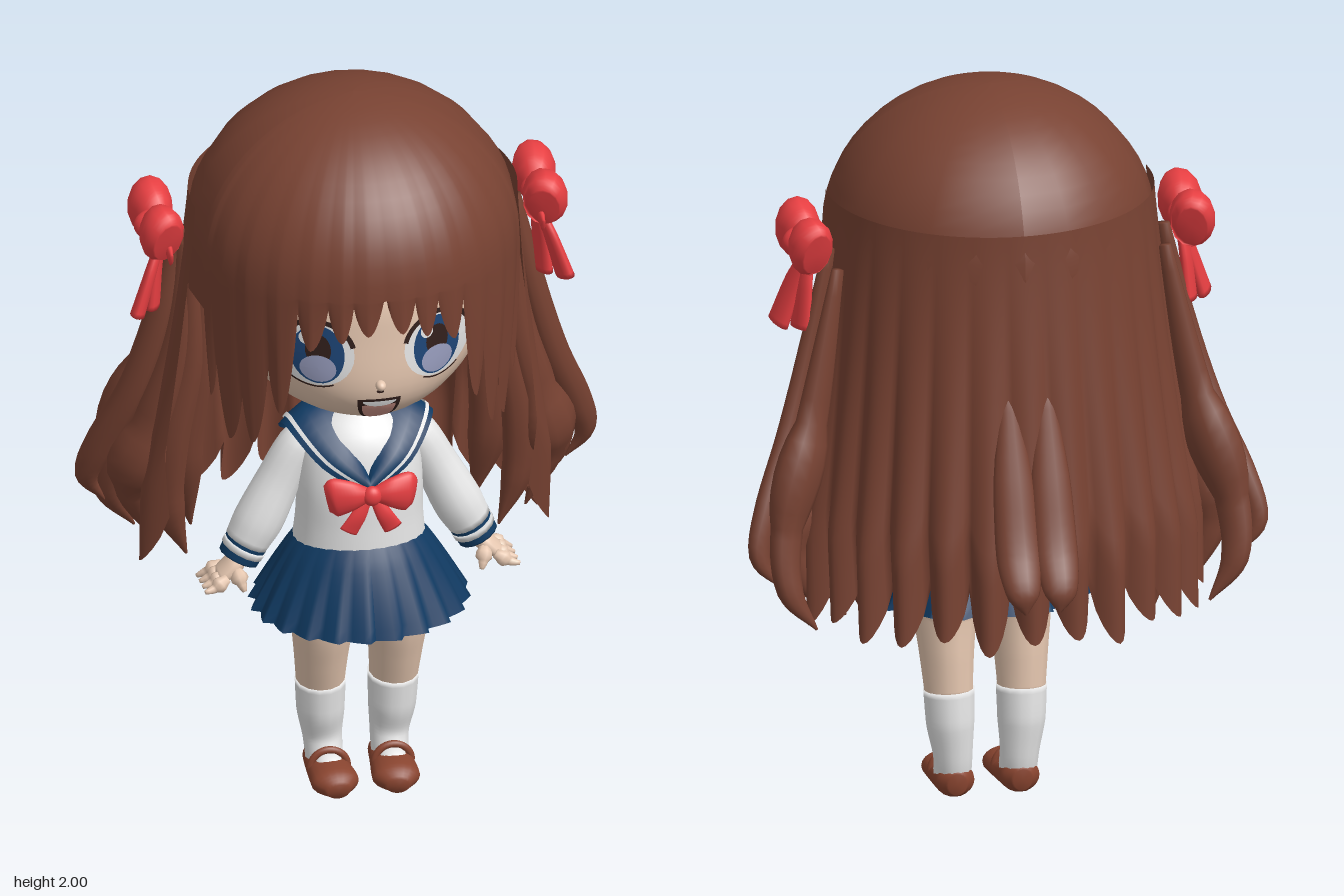
import * as THREE from 'three';

const { PI, sin, cos, sqrt, pow, abs, max, floor } = Math;
const lerp = THREE.MathUtils.lerp;

function indexed(pos, idx) {
  const g = new THREE.BufferGeometry();
  g.setAttribute('position', new THREE.Float32BufferAttribute(pos, 3));
  g.setIndex(idx);
  g.computeVertexNormals();
  return g;
}

// Sheet from a rule: f(u, v) -> [x, y, z]
function sheet(nu, nv, f) {
  const pos = [], idx = [], w = nv + 1;
  for (let i = 0; i <= nu; i++) for (let j = 0; j <= nv; j++) pos.push(...f(i / nu, j / nv));
  for (let i = 0; i < nu; i++) for (let j = 0; j < nv; j++) {
    const a = i * w + j, c = a + w;
    idx.push(a, a + 1, c, c, a + 1, c + 1);
  }
  return indexed(pos, idx);
}

// Elliptical tube through rows [x, y, z, halfWidth, halfDepth]; width runs along "side"
function sweep(rows, side = [1, 0, 0], steps = 18, n = 14) {
  const path = new THREE.CatmullRomCurve3(rows.map(r => new THREE.Vector3(r[0], r[1], r[2])));
  const size = new THREE.CatmullRomCurve3(rows.map(r => new THREE.Vector3(r[3], r[4] ?? r[3], 0)));
  const pos = [], idx = [], ref = new THREE.Vector3(...side);
  for (let i = 0; i <= steps; i++) {
    const p = path.getPoint(i / steps), r = size.getPoint(i / steps), t = path.getTangent(i / steps);
    const s = ref.clone().addScaledVector(t, -ref.dot(t)).normalize(), d = t.clone().cross(s);
    for (let j = 0; j < n; j++) {
      const a = j / n * 2 * PI;
      const q = p.clone().addScaledVector(s, max(r.x, 0.001) * cos(a)).addScaledVector(d, max(r.y, 0.001) * sin(a));
      pos.push(q.x, q.y, q.z);
    }
  }
  for (let i = 0; i < steps; i++) for (let j = 0; j < n; j++) {
    const a = i * n + j, b = i * n + (j + 1) % n;
    idx.push(a, b, a + n, a + n, b, b + n);
  }
  const first = rows[0], last = rows[rows.length - 1], c = (steps + 1) * n;
  pos.push(first[0], first[1], first[2], last[0], last[1], last[2]);
  for (let j = 0; j < n; j++) {
    const k = (j + 1) % n;
    idx.push(c, k, j, c + 1, steps * n + j, steps * n + k);
  }
  return indexed(pos, idx);
}

function mirrored(g) {
  const m = g.clone().scale(-1, 1, 1), a = m.index.array;
  for (let i = 0; i < a.length; i += 3) [a[i], a[i + 1]] = [a[i + 1], a[i]];
  return m;
}

// Head surface from a unit-sphere point
const headPoint = (u, v, w) => [0.39 * u, 1.48 + 0.36 * v, 0.08 + 0.39 * w + (v < 0 && w > 0 ? 0.26 * v * v * w : 0)];

// Thin elliptical patch that follows the face
function patch(cx, cy, rx, ry, off, inner = 0, start = 0, len = 2 * PI) {
  const g = new THREE.RingGeometry(inner, 1, 28, 4, start, len), p = g.attributes.position;
  for (let i = 0; i < p.count; i++) {
    const x = cx + p.getX(i) * rx, y = cy + p.getY(i) * ry, u = x / 0.39, v = (y - 1.48) / 0.36;
    p.setXYZ(i, x, y, headPoint(u, v, sqrt(max(0, 1 - u * u - v * v)))[2] + off);
  }
  g.computeVertexNormals();
  return g;
}

export function createModel() {
  const model = new THREE.Group();
  const mat = (name, color, side = THREE.FrontSide) => Object.assign(new THREE.MeshStandardMaterial({ color, side }), { name });
  const hair = mat('brown hair', 0x784232, THREE.DoubleSide), skin = mat('skin', 0xf0d0b8);
  const white = mat('white cloth', 0xf4f4f4, THREE.DoubleSide), navy = mat('navy cloth', 0x103a62, THREE.DoubleSide);
  const red = mat('red ribbon', 0xe83f42), shoe = mat('shoe leather', 0x8a4530), dark = mat('dark line', 0x33201c);
  const iris = mat('iris blue', 0x1e4678), glint = mat('lavender glint', 0x9a9fc0), mouth = mat('mouth pink', 0xcf9488);

  const add = (name, geo, material) => {
    const m = new THREE.Mesh(geo, material);
    m.name = name;
    model.add(m);
  };
  const pair = (name, geo, material) => {
    add('left ' + name, geo, material);
    add('right ' + name, mirrored(geo), material);
  };
  const ball = (x, y, z, a, b, c) => new THREE.SphereGeometry(1, 20, 14).scale(a, b, c).translate(x, y, z);

  // Head, ears, nose
  const head = new THREE.SphereGeometry(1, 48, 36), hp = head.attributes.position;
  for (let i = 0; i < hp.count; i++) hp.setXYZ(i, ...headPoint(hp.getX(i), hp.getY(i), hp.getZ(i)));
  head.computeVertexNormals();
  add('head', head, skin);
  pair('ear', ball(0.365, 1.335, 0.17, 0.03, 0.07, 0.045), skin);
  add('nose', ball(0, 1.315, 0.485, 0.014, 0.014, 0.018), skin);
  add('nose mark', patch(0, 1.295, 0.01, 0.006, 0.006), dark);

  // Eyes and mouth as thin patches
  pair('eye white', patch(0.165, 1.4, 0.098, 0.095, 0.002), white);
  pair('eyelash', patch(0.165, 1.4, 0.104, 0.105, 0.004, 0.87, 0.08 * PI, 0.84 * PI), dark);
  pair('lower eyelid', patch(0.165, 1.4, 0.1, 0.1, 0.004, 0.95, 1.35 * PI, 0.35 * PI), dark);
  pair('iris', patch(0.16, 1.4, 0.067, 0.087, 0.004), iris);
  pair('pupil', patch(0.16, 1.415, 0.032, 0.046, 0.006), dark);
  pair('iris glint', patch(0.16, 1.36, 0.045, 0.04, 0.0075), glint);
  for (const x of [-0.19, 0.13]) add('eye sparkle', patch(x, 1.45, 0.018, 0.02, 0.009), white);
  add('mouth line', patch(0, 1.268, 0.058, 0.098, 0.003, 0, PI, PI), dark);
  add('mouth inside', patch(0, 1.247, 0.045, 0.068, 0.005, 0, PI, PI), mouth);
  add('teeth', patch(0, 1.262, 0.045, 0.018, 0.007, 0, PI, PI), white);

  // Hair cap with fringe: knots are [degrees from the front, edge height], valley and tip in turn
  const knots = [[0, 1.62], [6, 1.5], [11, 1.58], [15, 1.48], [20, 1.57], [26, 1.45], [31, 1.55], [38, 1.24],
    [43, 1.36], [51, 1.12], [56, 1.24], [63, 1.1], [70, 1.3], [73, 1.2], [77, 1.44], [180, 1.44]];
  const columns = [];
  for (let k = 0; k < knots.length - 1; k++) for (let i = 0; i < 6; i++) {
    const [d0, y0] = knots[k], [d1, y1] = knots[k + 1], t = i / 6;
    const e = k % 2 ? 1 - pow(sin((1 - t) * PI / 2), 0.8) : pow(sin(t * PI / 2), 0.8);
    columns.push([lerp(d0, d1, t), lerp(y0, y1, e), k % 2 ? 1 - t : t]);
  }
  columns.push([180, 1.44, 0]);
  const half = columns.length - 1;
  add('hair cap and fringe', sheet(half * 2, 28, (u, v) => {
    const i = Math.round(u * half * 2) - half, [deg, edge, bump] = columns[abs(i)];
    const a = deg * PI / 180 * (i < 0 ? -1 : 1);
    const y = v < 0.5 ? 1.6 + 0.4 * cos(v * PI) : lerp(1.6, edge, v * 2 - 1);
    const k = (v < 0.5 ? sin(v * PI) : 1 - 0.3 * (1.6 - y) ** 2) + (deg < 80 ? 0.035 * (bump - 0.5) * v * v : 0);
    return [0.44 * k * sin(a), y, 0.11 + 0.442 * k * cos(a)];
  }), hair);

  // Long back hair, scalloped into locks
  const locks = 15;
  add('back hair', sheet(locks * 10, 24, (u, v) => {
    const a = (84 + 192 * u) * PI / 180, f = u * locks, lobe = sin(PI * (f - floor(f)));
    const edge = 0.75 - (0.14 + 0.02 * sin(floor(f) * 2.3)) * pow(abs(lobe), 0.7);
    const y = lerp(1.72, edge, v), t = pow((1.72 - y) / 1.12, 1.2);
    const k = 1.0 + 0.09 * t * (lobe - 0.5) - 0.07 * max(0, v - 0.8) / 0.2;
    return [lerp(0.435, 0.565, t) * k * sin(a), y, lerp(0.11, 0, t) + lerp(0.43, 0.465, t) * k * cos(a)];
  }), hair);
  pair('back flick', sweep([[0.05, 1.3, -0.34, 0.02, 0.01], [0.05, 1.05, -0.41, 0.055, 0.03], [0.05, 0.88, -0.47, 0.06, 0.035],
    [0.05, 0.79, -0.53, 0.045, 0.025], [0.045, 0.74, -0.54, 0.004]]), hair);

  // Loose strands hanging from the side bows
  const strands = [
    [[0.45, 1.6, 0.03, 0.02], [0.5, 1.35, 0.02, 0.035], [0.57, 1.1, -0.02, 0.04], [0.64, 0.92, -0.08, 0.042], [0.67, 0.8, -0.12, 0.032], [0.62, 0.72, -0.13, 0.003]],
    [[0.44, 1.56, 0.05, 0.02], [0.46, 1.25, 0.03, 0.045], [0.52, 1, 0, 0.055], [0.56, 0.8, -0.05, 0.055], [0.5, 0.62, -0.07, 0.004]],
    [[0.43, 1.52, 0.06, 0.02], [0.43, 1.2, 0.03, 0.045], [0.47, 0.95, 0, 0.055], [0.47, 0.74, -0.03, 0.05], [0.42, 0.59, -0.03, 0.004]],
    [[0.44, 1.56, -0.03, 0.02], [0.52, 1.15, -0.07, 0.05], [0.6, 0.88, -0.13, 0.05], [0.6, 0.72, -0.17, 0.04], [0.53, 0.61, -0.18, 0.004]],
    [[0.4, 1.4, 0, 0.03], [0.4, 1.1, -0.08, 0.06], [0.42, 0.85, -0.13, 0.07], [0.38, 0.6, -0.17, 0.004]],
  ];
  for (const s of strands) pair('side strand', sweep(s.map(r => [...r, r[3] * 0.75]), [0.8, 0, -0.6], 24, 10), hair);

  // Side bows
  for (const d of [-1, 1]) {
    pair('hair bow loop', sweep([[0.5, 1.625, 0.04, 0.03, 0.025], [0.51, 1.63, 0.04 + d * 0.035, 0.065, 0.05],
      [0.515, 1.63, 0.04 + d * 0.085, 0.082, 0.06], [0.505, 1.62, 0.04 + d * 0.115, 0.06, 0.04]], [0, 1, 0]), red);
    pair('hair bow tail', sweep([[0.5, 1.59, 0.05, 0.018, 0.012], [0.525 + d * 0.01, 1.5, 0.06 + d * 0.015, 0.035, 0.016],
      [0.55 + d * 0.025, 1.38, 0.065 + d * 0.025, 0.042, 0.02]], [0.35, 0, 1]), red);
  }
  pair('hair bow knot', ball(0.52, 1.62, 0.04, 0.055, 0.045, 0.032), red);
  pair('hair bow end', sweep([[0.5, 1.61, 0.1, 0.015, 0.02], [0.5, 1.575, 0.17, 0.006, 0.02]]), red);

  // Neck, blouse, underwear
  add('neck', sweep([[0, 1.0, 0.17, 0.06], [0, 1.1, 0.155, 0.052], [0, 1.22, 0.15, 0.055]]), skin);
  add('blouse', sweep([[0, 0.715, 0.19, 0.178, 0.142], [0, 0.8, 0.195, 0.17, 0.135], [0, 0.9, 0.2, 0.168, 0.127],
    [0, 1.0, 0.19, 0.16, 0.112], [0, 1.06, 0.17, 0.125, 0.085], [0, 1.1, 0.155, 0.055, 0.055]], [1, 0, 0], 24, 28), white);
  add('underwear', ball(0, 0.585, 0.19, 0.165, 0.09, 0.125), white);

  // Sailor collar and its stripe
  const curve = pts => new THREE.CatmullRomCurve3(pts.map(p => new THREE.Vector3(...p)));
  const innerEdge = curve([[0, 0.96, 0.322], [0.035, 1.04, 0.27], [0.066, 1.115, 0.17], [0.045, 1.125, 0.1], [0, 1.125, 0.085]]);
  const outerEdge = curve([[0, 0.91, 0.342], [0.12, 0.985, 0.305], [0.2, 1.065, 0.19], [0.175, 0.985, 0.06], [0, 0.97, 0.058]]);
  const collar = (from, to, lift) => sheet(24, 4, (u, v) => {
    const k = lerp(from, to, v), p = innerEdge.getPoint(u).lerp(outerEdge.getPoint(u), k);
    const out = 0.018 * sin(PI * k) + lift;
    return [p.x + out * sin(u * PI) * 0.6, p.y + out * 0.7, p.z + out * cos(u * PI)];
  });
  pair('collar', collar(0, 1, 0), navy);
  pair('collar stripe', collar(0.78, 0.87, 0.005), white);

  // Chest bow
  pair('chest bow loop', sweep([[0.005, 0.925, 0.36, 0.018, 0.015], [0.05, 0.925, 0.36, 0.042, 0.025],
    [0.095, 0.92, 0.35, 0.056, 0.027], [0.117, 0.915, 0.345, 0.04, 0.012]], [0, 1, 0]), red);
  pair('chest bow tail', sweep([[0.01, 0.91, 0.35, 0.014, 0.01], [0.035, 0.86, 0.355, 0.022, 0.011], [0.06, 0.815, 0.35, 0.026, 0.009]]), red);
  add('chest bow knot', ball(0, 0.925, 0.37, 0.026, 0.028, 0.02), red);

  // Pleated skirt
  const pleats = 22;
  add('skirt', sheet(pleats * 5, 8, (u, v) => {
    const a = u * 2 * PI, f = u * pleats + 1e-6, q = f - floor(f), saw = q < 0.79 ? q / 0.8 : (1 - q) / 0.2;
    const k = 1 + 0.08 * v * (saw - 0.5), w = pow(v, 0.85);
    return [lerp(0.165, 0.285, w) * k * sin(a), 0.745 - v * (0.21 + 0.016 * cos(a)), 0.195 + lerp(0.135, 0.235, w) * k * cos(a)];
  }), navy);

  // Arms
  pair('sleeve', sweep([[0.11, 1.035, 0.17, 0.03], [0.155, 1.0, 0.172, 0.056], [0.21, 0.9, 0.172, 0.06], [0.265, 0.79, 0.178, 0.067],
    [0.3, 0.725, 0.18, 0.06]], [0, 0, 1]), white);
  pair('cuff', sweep([[0.294, 0.735, 0.18, 0.06], [0.322, 0.68, 0.182, 0.056]], [0, 0, 1]), navy);
  pair('cuff stripe', sweep([[0.303, 0.717, 0.181, 0.061], [0.312, 0.7, 0.181, 0.06]], [0, 0, 1], 2), white);
  pair('palm', sweep([[0.315, 0.69, 0.182, 0.03, 0.025], [0.34, 0.66, 0.185, 0.042, 0.026], [0.37, 0.635, 0.185, 0.042, 0.02],
    [0.38, 0.628, 0.185, 0.02, 0.01]], [0, 0, 1]), skin);
  for (let i = 0; i < 4; i++) {
    const z = 0.142 + i * 0.028;
    pair('finger', sweep([[0.36, 0.642, z, 0.013], [0.395, 0.62, z + (i - 1.5) * 0.006, 0.013], [0.423, 0.603 + i * 0.004, z + (i - 1.5) * 0.012, 0.006]], [0, 0, 1], 8, 8), skin);
  }
  pair('thumb', sweep([[0.335, 0.66, 0.21, 0.014], [0.325, 0.63, 0.24, 0.014], [0.318, 0.61, 0.25, 0.006]], [0, 0, 1], 8, 8), skin);

  // Legs, socks, shoes
  pair('leg', sweep([[0.095, 0.62, 0.2, 0.085, 0.1], [0.1, 0.5, 0.2, 0.085, 0.1], [0.1, 0.38, 0.18, 0.073, 0.085], [0.098, 0.27, 0.16, 0.064, 0.066]]), skin);
  pair('sock', sweep([[0.098, 0.29, 0.163, 0.069, 0.072], [0.096, 0.2, 0.155, 0.065, 0.07], [0.09, 0.11, 0.15, 0.053, 0.054],
    [0.088, 0.04, 0.17, 0.05, 0.06]]), white);
  const foot = sweep([[0.088, 0.04, 0.1, 0.025, 0.03], [0.088, 0.042, 0.13, 0.052, 0.045], [0.086, 0.036, 0.2, 0.058, 0.04],
    [0.082, 0.034, 0.28, 0.064, 0.04], [0.08, 0.026, 0.325, 0.03, 0.022]], [1, 0, 0], 20, 20);
  const fp = foot.attributes.position;
  for (let i = 0; i < fp.count; i++) fp.setY(i, max(0, fp.getY(i)));
  foot.computeVertexNormals();
  pair('shoe', foot, shoe);
  pair('sock instep', ball(0.086, 0.058, 0.215, 0.038, 0.025, 0.04), white);
  pair('shoe strap', new THREE.TorusGeometry(0.05, 0.01, 8, 18, PI).translate(0.086, 0.045, 0.215), shoe);

  return model;
}
